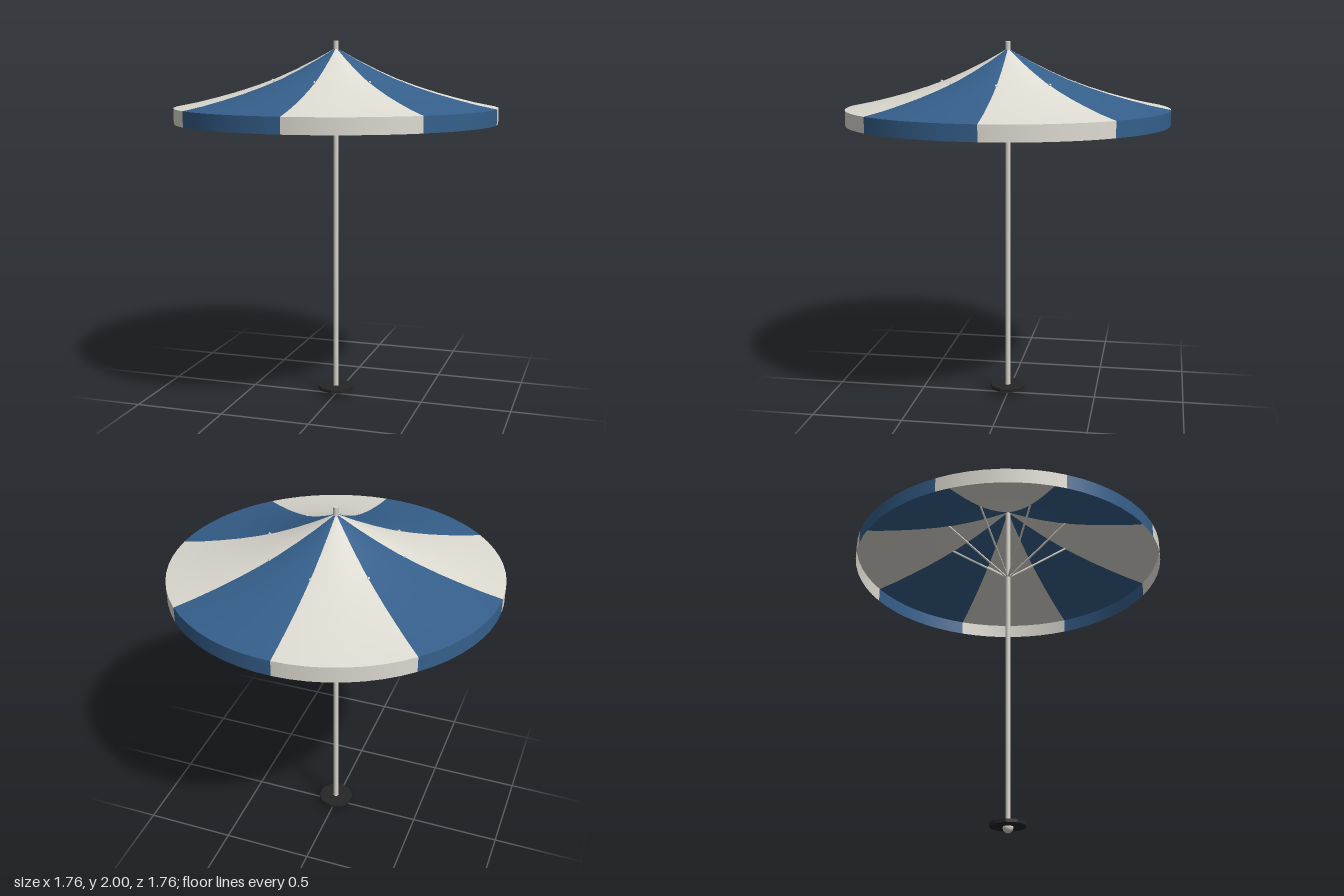
import * as THREE from 'three';

export function createModel() {
  const model = new THREE.Group();
  model.name = 'patioUmbrella';

  const mat = (name, color, side = THREE.FrontSide) => {
    const m = new THREE.MeshStandardMaterial({ color, side });
    m.name = name;
    return m;
  };
  const cream = mat('cream fabric', 0xdedbd2, THREE.DoubleSide);
  const blue = mat('blue fabric', 0x355f8b, THREE.DoubleSide);
  const metal = mat('pale metal', 0xd6d3ca);
  const dark = mat('dark base', 0x262626);

  const add = (name, geometry, material, y = 0, parent = model) => {
    const mesh = new THREE.Mesh(geometry, material);
    mesh.name = name;
    mesh.position.y = y;
    parent.add(mesh);
    return mesh;
  };

  // Foot: ball under a ten-sided plate, with the pole rising through it
  add('footBall', new THREE.SphereGeometry(0.028, 20, 14), metal, 0.028);
  const plate = new THREE.CylinderGeometry(0.1, 0.1, 0.018, 10).toNonIndexed();
  plate.computeVertexNormals();
  add('basePlate', plate, dark, 0.042);
  add('pole', new THREE.CylinderGeometry(0.014, 0.014, 1.97, 20), metal, 1.015);

  // Canopy: eight alternating gores, each with its hanging valance
  const canopy = new THREE.Group();
  canopy.name = 'canopy';
  model.add(canopy);
  const points = (list) => list.map(([r, y]) => new THREE.Vector2(r, y));
  const roof = points([
    [0.88, 1.643], [0.77, 1.665], [0.66, 1.692], [0.55, 1.722], [0.44, 1.757],
    [0.33, 1.797], [0.22, 1.846], [0.11, 1.901], [0.004, 1.96],
  ]);
  const skirt = points([[0.88, 1.56], [0.88, 1.643]]);
  const step = Math.PI / 4;
  for (let i = 0; i < 8; i++) {
    const fabric = i % 2 ? blue : cream;
    add('gore', new THREE.LatheGeometry(roof, 8, i * step, step), fabric, 0, canopy);
    add('valance', new THREE.LatheGeometry(skirt, 8, i * step, step), fabric, 0, canopy);
  }

  // Struts from the pole out to the seams, tips just through the fabric
  const struts = new THREE.Group();
  struts.name = 'struts';
  model.add(struts);
  const up = new THREE.Vector3(0, 1, 0);
  for (let i = 0; i < 8; i++) {
    const s = Math.sin(i * step), c = Math.cos(i * step);
    const start = new THREE.Vector3(0.005 * s, 1.512, 0.005 * c);
    const end = new THREE.Vector3(0.372 * s, 1.788, 0.372 * c);
    const dir = end.clone().sub(start);
    const strut = add('strut', new THREE.CylinderGeometry(0.006, 0.006, dir.length(), 8), metal, 0, struts);
    strut.position.copy(start).add(end).multiplyScalar(0.5);
    strut.quaternion.setFromUnitVectors(up, dir.normalize());
  }

  return model;
}
